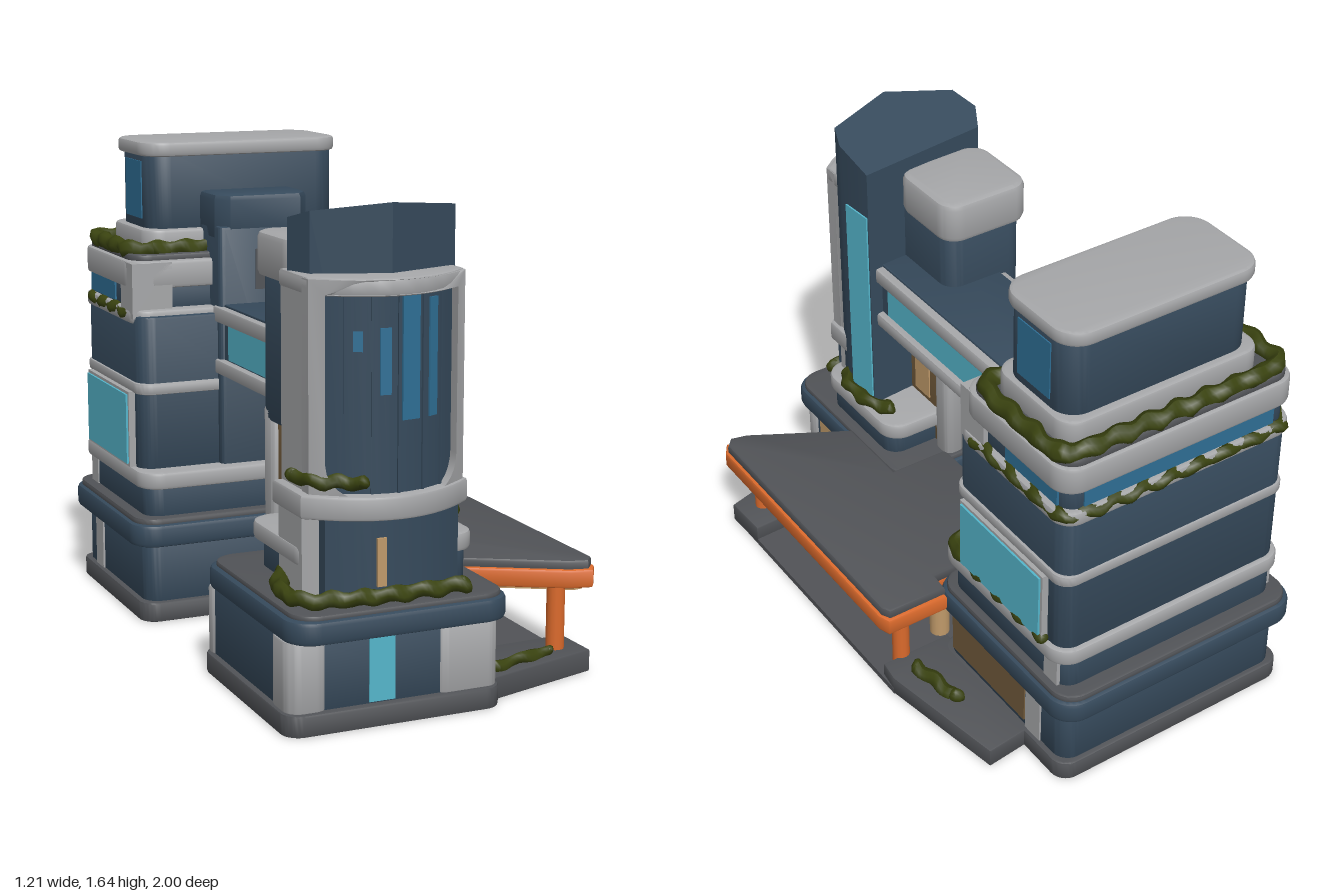
import * as THREE from 'three';
import { toCreasedNormals } from 'three/addons/utils/BufferGeometryUtils.js';

const paint = (name, color) => Object.assign(new THREE.MeshStandardMaterial({ color }), { name });
const M = {
  slate: paint('slate blue', 0x364a5c), light: paint('light concrete', 0xa6a7a9),
  grey: paint('dark paving', 0x515357), cyan: paint('cyan glass', 0x55b6cc),
  blue: paint('blue glass', 0x2f6f95), green: paint('hedge green', 0x3a4310),
  orange: paint('orange trim', 0xdb6a2c), tan: paint('warm tan', 0xc09a6a),
  brown: paint('warm brown', 0x715a3b),
};

export function createModel() {
  const root = new THREE.Group();
  let group = root;
  const section = (name) => { group = new THREE.Group(); group.name = name; root.add(group); };
  const add = (name, geo, mat) => {
    const m = new THREE.Mesh(geo, mat);
    m.name = name;
    group.add(m);
    return m;
  };
  // extrude a plan shape (drawn with y = -z) from y0 up to y1
  const raise = (shape, y0, y1, b) => {
    const g = new THREE.ExtrudeGeometry(shape, {
      depth: y1 - y0 - 2 * b, bevelEnabled: b > 0, bevelThickness: b, bevelSize: b,
      bevelOffset: -b, bevelSegments: 2, curveSegments: 6,
    });
    g.rotateX(-Math.PI / 2).translate(0, y0 + b, 0);
    return g;
  };
  const prismGeo = (pts, y0, y1, b = 0) =>
    raise(new THREE.Shape(pts.map(([x, z]) => new THREE.Vector2(x, -z))), y0, y1, b);
  const prism = (name, pts, y0, y1, mat, b = 0) => add(name, toCreasedNormals(prismGeo(pts, y0, y1, b), 0.6), mat);
  // rounded rectangular storey
  const slab = (name, x0, x1, z0, z1, y0, y1, mat, r = 0.06, b = 0.008) => {
    const s = new THREE.Shape();
    s.absarc(x1 - r, -z0 - r, r, 0, Math.PI / 2);
    s.absarc(x0 + r, -z0 - r, r, Math.PI / 2, Math.PI);
    s.absarc(x0 + r, -z1 + r, r, Math.PI, Math.PI * 1.5);
    s.absarc(x1 - r, -z1 + r, r, Math.PI * 1.5, Math.PI * 2);
    return add(name, toCreasedNormals(raise(s, y0, y1, b), 0.6), mat);
  };
  const box = (name, x0, x1, y0, y1, z0, z1, mat) => add(name,
    new THREE.BoxGeometry(x1 - x0, y1 - y0, z1 - z0).translate((x0 + x1) / 2, (y0 + y1) / 2, (z0 + z1) / 2), mat);
  // bowed front storey: straight back, convex front
  const bow = (x, x0, x1, ze, zf) => ze + (zf - ze) * (1 - ((2 * x - x0 - x1) / (x1 - x0)) ** 2);
  const bowed = (name, x0, x1, zb, ze, zf, y0, y1, mat, b = 0) => {
    const pts = [[x0, zb], [x1, zb]];
    for (let i = 0; i <= 14; i++) {
      const x = x1 + (x0 - x1) * i / 14;
      pts.push([x, bow(x, x0, x1, ze, zf)]);
    }
    return prism(name, pts, y0, y1, mat, b);
  };
  // lumpy hedge along a path
  const hedge = (name, pts, r = 0.025, closed = false) => {
    const curve = new THREE.CatmullRomCurve3(pts.map((p) => new THREE.Vector3(...p)), closed, 'catmullrom', 0.2);
    const lump = (g) => {
      const p = g.attributes.position;
      for (let i = 0; i < p.count; i++) {
        const x = p.getX(i), y = p.getY(i), z = p.getZ(i), w = 0.006;
        p.setXYZ(i, x + w * Math.sin(z * 55 + y * 30), y + w * Math.sin(x * 60 + z * 48), z + w * Math.sin(x * 52 + y * 30));
      }
      g.computeVertexNormals();
      return g;
    };
    add(name, lump(new THREE.TubeGeometry(curve, Math.ceil(curve.getLength() * 60), r, 8, closed)), M.green);
    if (!closed) for (const t of [0, 1]) {
      const e = curve.getPoint(t);
      add(name + 'End', lump(new THREE.SphereGeometry(r, 8, 6).translate(e.x, e.y, e.z)), M.green);
    }
  };

  section('ground');
  prism('plaza', [[-0.07, -0.4], [0.4, -0.4], [0.57, -0.32], [0.57, 0.78], [0.15, 0.9], [-0.07, 0.4]], 0, 0.022, M.grey);
  prism('frontPlanter', [[0.1, 0.64], [0.57, 0.62], [0.575, 0.79], [0.16, 0.91]], 0, 0.075, M.grey, 0.006);
  prism('rearPlanter', [[0.3, -0.76], [0.49, -0.78], [0.57, -0.32], [0.56, -0.24], [0.3, -0.24]], 0, 0.07, M.grey, 0.006);
  hedge('frontPlanterHedge', [[0.2, 0.085, 0.85], [0.32, 0.085, 0.81], [0.42, 0.085, 0.78]], 0.02);
  hedge('rearPlanterHedge', [[0.45, 0.08, -0.52], [0.48, 0.08, -0.33]], 0.025);

  section('rearTower');
  slab('base', -0.58, 0.345, -0.975, -0.255, 0, 0.07, M.grey);
  slab('podiumWall', -0.56, 0.325, -0.955, -0.275, 0.06, 0.29, M.slate);
  slab('podiumBand', -0.605, 0.36, -1, -0.24, 0.27, 0.35, M.slate, 0.09, 0.015);
  slab('podiumRoof', -0.59, 0.345, -0.985, -0.255, 0.34, 0.37, M.grey, 0.08);
  box('podiumWindow', 0.32, 0.33, 0.09, 0.24, -0.74, -0.32, M.brown);
  for (const [x0, x1] of [[-0.567, -0.5], [0.265, 0.332]]) {
    box('podiumPier', x0, x1, 0.06, 0.28, -0.83, -0.75, M.light);
    box('tierPier', x0 + 0.012, x1 - 0.012, 0.36, 0.48, -0.9, -0.83, M.light);
  }
  slab('tier', -0.55, 0.315, -0.93, -0.29, 0.36, 0.49, M.slate);
  slab('tierBand', -0.575, 0.34, -0.945, -0.255, 0.47, 0.53, M.light, 0.08, 0.012);
  slab('body', -0.555, 0.32, -0.925, -0.33, 0.52, 1.06, M.slate);
  slab('bodyBand', -0.562, 0.33, -0.932, -0.322, 0.79, 0.83, M.light);
  for (const s of [-1, 1]) {
    const x = (d) => -0.1175 + s * d;
    const side = (name, d0, d1, y0, y1, z0, z1, m) =>
      box(name, Math.min(x(d0), x(d1)), Math.max(x(d0), x(d1)), y0, y1, z0, z1, m);
    side('sideBayFrame', 0.4, 0.461, 0.53, 0.795, -0.845, -0.39, M.light);
    side('sideBayGlass', 0.46, 0.468, 0.54, 0.785, -0.835, -0.4, M.cyan);
    side('cornerBlock', 0.3, 0.445, 1.05, 1.24, -0.5, -0.375, M.light);
    side('upperWindowPlate', 0.424, 0.434, 1.085, 1.15, -0.87, -0.6, M.blue);
  }
  slab('terraceBand', -0.565, 0.335, -0.935, -0.35, 1.03, 1.08, M.light, 0.07, 0.012);
  slab('terraceCore', -0.545, 0.31, -0.915, -0.4, 1.06, 1.17, M.slate);
  box('rearWindowStrip', -0.48, 0.25, 1.085, 1.15, -0.92, -0.911, M.blue);
  slab('upperBand', -0.565, 0.335, -0.935, -0.375, 1.15, 1.245, M.light, 0.08, 0.012);
  slab('upperRoof', -0.55, 0.32, -0.92, -0.4, 1.235, 1.265, M.grey, 0.07);
  slab('crownFoot', -0.48, 0.27, -0.85, -0.46, 1.25, 1.34, M.light, 0.07, 0.012);
  slab('crown', -0.455, 0.25, -0.82, -0.49, 1.32, 1.61, M.slate, 0.08);
  slab('crownCap', -0.475, 0.26, -0.835, -0.47, 1.59, 1.64, M.light, 0.09, 0.012);
  for (const x of [-0.459, 0.246]) box('crownWindow', x, x + 0.008, 1.37, 1.57, -0.735, -0.57, M.blue);
  hedge('roofHedge', [[-0.47, 1.275, -0.45], [0.25, 1.275, -0.45], [0.31, 1.275, -0.51], [0.31, 1.275, -0.83],
    [0.25, 1.275, -0.89], [-0.47, 1.275, -0.89], [-0.53, 1.275, -0.83], [-0.53, 1.275, -0.51]], 0.03, true);
  hedge('terraceHedge', [[0.32, 1.06, -0.44], [0.32, 1.06, -0.85], [0.26, 1.06, -0.92],
    [-0.49, 1.06, -0.92], [-0.55, 1.06, -0.85], [-0.55, 1.06, -0.44]], 0.021);
  hedge('tierHedge', [[0.14, 0.54, -0.29], [0.27, 0.54, -0.29], [0.325, 0.54, -0.34], [0.33, 0.54, -0.84]], 0.022);
  slab('liftShaft', -0.27, 0.07, -0.5, -0.3, 0.36, 1.36, M.slate, 0.02);
  prism('liftShaftHead', [[-0.27, -0.5], [0.07, -0.5], [0.07, -0.35], [0.03, -0.3], [-0.23, -0.3], [-0.27, -0.35]],
    1.3, 1.47, M.slate, 0.02);
  box('liftWindow', -0.14, -0.06, 1.14, 1.28, -0.302, -0.295, M.grey);

  section('bridge');
  slab('bridgeFloor', -0.28, 0.085, -0.36, 0.54, 0.85, 0.9, M.light, 0.02);
  box('bridgeWall', -0.255, 0.06, 0.89, 1.04, -0.35, 0.53, M.slate);
  for (const x of [-0.259, 0.056]) box('bridgeWindow', x, x + 0.008, 0.905, 1.025, -0.26, 0.48, M.cyan);
  slab('bridgeEdge', -0.28, 0.085, -0.36, 0.54, 1.03, 1.085, M.light, 0.02);
  slab('bridgeRoof', -0.255, 0.055, -0.35, 0.53, 1.07, 1.093, M.slate, 0.01, 0.004);

  section('frontTower');
  slab('base', -0.56, 0.165, 0.255, 0.975, 0, 0.07, M.grey);
  slab('podiumWall', -0.54, 0.145, 0.275, 0.95, 0.06, 0.3, M.slate);
  slab('podiumCornerLeft', -0.06, 0.155, 0.87, 0.96, 0.065, 0.29, M.light, 0.04);
  slab('podiumCornerRight', -0.55, -0.41, 0.8, 0.96, 0.065, 0.29, M.light, 0.05);
  slab('podiumCornerRear', -0.547, -0.44, 0.268, 0.34, 0.065, 0.29, M.light, 0.03);
  box('podiumDoor', -0.285, -0.2, 0.075, 0.275, 0.948, 0.956, M.cyan);
  box('podiumSideWindow', 0.143, 0.151, 0.09, 0.27, 0.62, 0.86, M.tan);
  slab('podiumBand', -0.55, 0.185, 0.24, 1, 0.285, 0.36, M.slate, 0.09, 0.015);
  slab('podiumRoof', -0.53, 0.17, 0.255, 0.985, 0.35, 0.375, M.grey, 0.08);
  slab('tier', -0.41, 0.13, 0.38, 0.8, 0.36, 0.48, M.slate);
  slab('tierBand', -0.435, 0.155, 0.34, 0.81, 0.46, 0.52, M.light, 0.08, 0.012);
  bowed('lowerSides', -0.43, 0.09, 0.6, 0.78, 0.86, 0.36, 0.66, M.light);
  bowed('lowerGlass', -0.385, 0.06, 0.62, 0.85, 0.92, 0.36, 0.65, M.slate);
  box('lowerLamp', -0.245, -0.215, 0.42, 0.57, 0.915, 0.924, M.tan);
  bowed('lowerBand', -0.45, 0.105, 0.6, 0.82, 0.945, 0.625, 0.7, M.light, 0.01);
  bowed('shellSides', -0.42, 0.085, 0.6, 0.78, 0.86, 0.66, 1.33, M.light);
  bowed('curtainGlass', -0.4, 0.065, 0.62, 0.8, 0.905, 0.68, 1.33, M.slate);
  bowed('shellTop', -0.425, 0.09, 0.6, 0.81, 0.935, 1.295, 1.35, M.light, 0.01);

  // curved frame: a flat outline with an opening, bent along the bow
  const edge = (x0, x1, y0, y1, r) => {
    const pts = [];
    for (let i = 0; i <= 12; i++) pts.push(new THREE.Vector2(x1 + (x0 - x1) * i / 12, y1));
    for (const [cx, a] of [[x0 + r, Math.PI], [x1 - r, Math.PI * 1.5]])
      for (let i = 0; i <= 6; i++) {
        const t = a + i * Math.PI / 12;
        pts.push(new THREE.Vector2(cx + r * Math.cos(t), y0 + r + r * Math.sin(t)));
      }
    return pts;
  };
  const frameShape = new THREE.Shape(edge(-0.425, 0.09, 0.66, 1.345, 0.01));
  frameShape.holes.push(new THREE.Path(edge(-0.385, 0.05, 0.69, 1.3, 0.1).reverse()));
  const frame = new THREE.ExtrudeGeometry(frameShape, { depth: 0.05, bevelEnabled: false });
  const fp = frame.attributes.position;
  for (let i = 0; i < fp.count; i++) fp.setZ(i, fp.getZ(i) - 0.05 + bow(fp.getX(i), -0.425, 0.09, 0.82, 0.935));
  add('curtainFrame', toCreasedNormals(frame, 0.6), M.light);
  const onGlass = (name, x, w, y0, y1, d, mat) => {
    const m = box(name, -w / 2, w / 2, y0, y1, -0.003, d, mat);
    m.position.set(x, 0, bow(x, -0.4, 0.065, 0.8, 0.905));
    m.rotation.y = Math.atan(0.105 * 8 * (x + 0.1675) / 0.465 ** 2);
  };
  for (const [x, w, y0, y1] of [[-0.29, 0.03, 1.13, 1.19], [-0.212, 0.035, 1, 1.2], [-0.13, 0.06, 0.92, 1.3],
    [-0.045, 0.035, 0.92, 1.28]]) onGlass('blueWindow', x, w, y0, y1, 0.005, M.blue);
  for (const x of [-0.33, -0.25, -0.17, -0.085, -0.01]) onGlass('mullion', x, 0.008, 0.7, 1.3, 0.006, M.slate);

  // tall fin with a sloping roof
  const fin = prismGeo([[-0.42, 0.65], [-0.37, 0.56], [0.11, 0.515], [0.12, 0.67], [0.09, 0.75], [-0.16, 0.835], [-0.39, 0.75]], 0.36, 1.5);
  const q = fin.attributes.position;
  for (let i = 0; i < q.count; i++) if (q.getY(i) > 1) q.setY(i, 1.47 + (q.getZ(i) - 0.515) * 0.28);
  add('fin', toCreasedNormals(fin, 0.5), M.slate);
  prism('finGlass', [[0.108, 0.52], [0.116, 0.52], [0.124, 0.64], [0.116, 0.64]], 0.55, 1.3, M.cyan);

  // rear stair core
  slab('stairCore', -0.35, -0.045, 0.255, 0.62, 0.82, 1.3, M.slate, 0.06);
  slab('stairCap', -0.37, -0.03, 0.235, 0.56, 1.28, 1.425, M.light, 0.07, 0.02);
  slab('stairGlass', -0.33, -0.06, 0.3, 0.6, 0.36, 0.84, M.brown, 0.03);
  for (const x of [-0.35, -0.12]) slab('stairPier', x, x + 0.08, 0.27, 0.36, 0.36, 0.86, M.light, 0.03);
  box('stairLight', -0.063, -0.055, 0.54, 0.8, 0.41, 0.5, M.tan);
  box('stairRearLight', -0.25, -0.14, 0.4, 0.8, 0.294, 0.301, M.tan);
  box('podiumRearGlass', -0.3, -0.08, 0.08, 0.28, 0.268, 0.277, M.tan);

  hedge('podiumHedge', [[-0.42, 0.4, 0.6], [-0.48, 0.4, 0.72], [-0.5, 0.4, 0.85], [-0.44, 0.4, 0.92],
    [-0.25, 0.4, 0.95], [0.03, 0.4, 0.94]], 0.026);
  hedge('tierHedge', [[0.1, 0.55, 0.42], [0.14, 0.55, 0.5], [0.15, 0.55, 0.62], [0.12, 0.55, 0.7]], 0.024);
  hedge('balconyHedge', [[-0.44, 0.74, 0.74], [-0.4, 0.74, 0.83], [-0.29, 0.74, 0.91]], 0.022);

  section('entrance');
  const roofPlan = (e) => [[-0.05, -0.25], [0.355, -0.25], [0.36, -0.32 - e], [0.575 + e, -0.32 - e], [0.59 + e, -0.29],
    [0.59 + e, 0.76], [0.56 + e, 0.795 + e], [0.5, 0.78 + e], [0.17, 0.59 + e], [0.17, 0.3], [-0.05, 0.3]];
  prism('canopySoffit', roofPlan(-0.03), 0.272, 0.3, M.tan);
  prism('canopyRim', roofPlan(0.012), 0.285, 0.348, M.orange, 0.01);
  prism('canopyRoof', roofPlan(0), 0.335, 0.378, M.grey, 0.01);
  const post = (name, x, z, r, mat) =>
    add(name, new THREE.CylinderGeometry(r, r, 0.27, 14).translate(x, 0.155, z), mat);
  for (const z of [0.73, -0.225]) post('canopyPost', 0.48, z, 0.03, M.orange);
  for (const z of [0.5, -0.16]) post('innerPost', 0.28, z, 0.035, M.tan);
  box('lobby', -0.04, 0.19, 0.02, 0.28, -0.27, 0.42, M.brown);
  for (let i = 0; i < 4; i++) {
    const z = -0.065 + i * 0.121;
    box('lobbyDoor', 0.187, 0.195, 0.03, 0.2, z, z + 0.105, M.brown);
    box('lobbyTransom', 0.187, 0.195, 0.21, 0.265, z, z + 0.105, M.tan);
  }
  for (const z of [-0.09, 0.42]) box('lobbyPier', 0.15, 0.22, 0.02, 0.28, z - 0.018, z + 0.018, M.slate);
  box('lobbyRearGlass', -0.046, -0.038, 0.04, 0.26, -0.22, 0.24, M.tan);
  return root;
}
